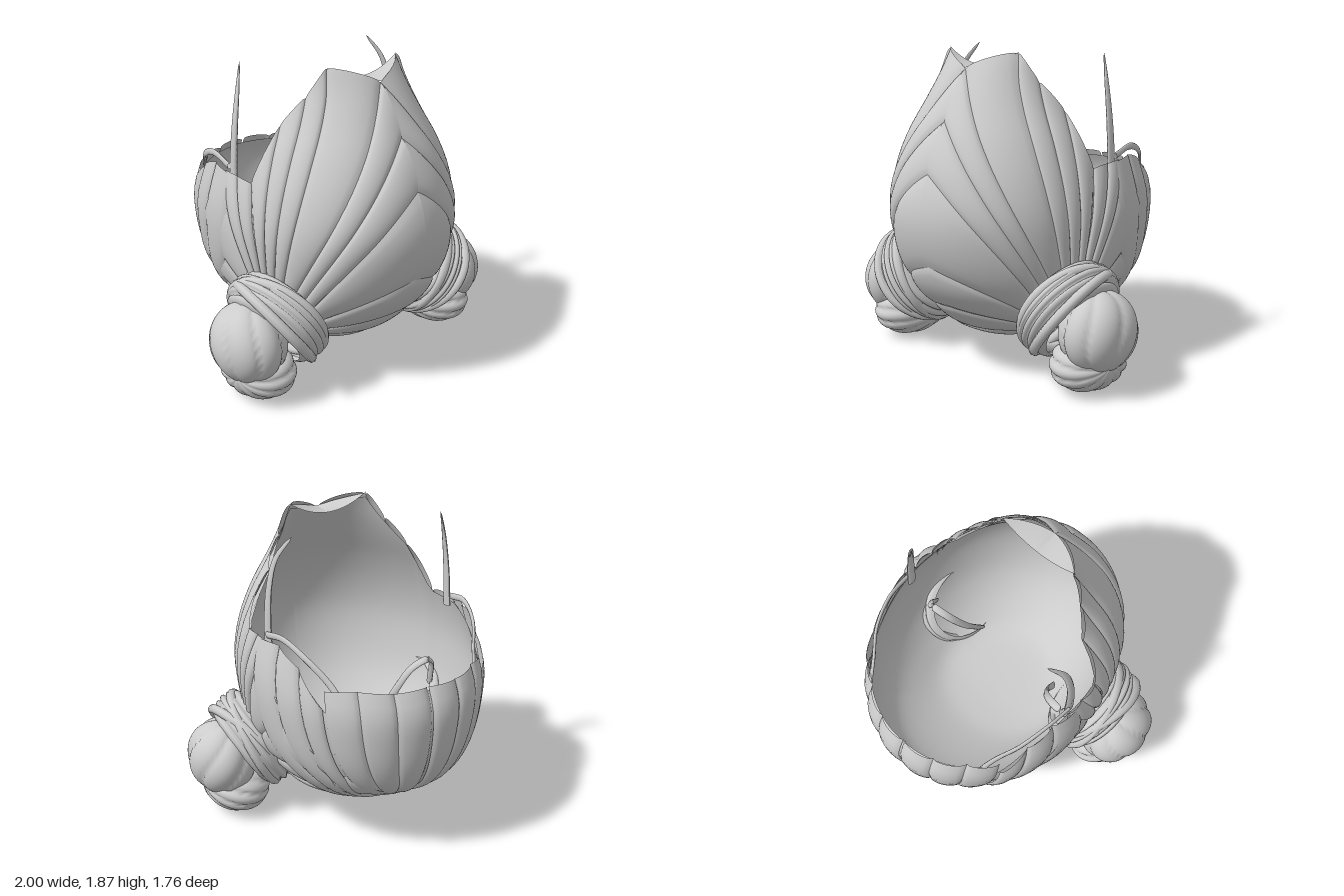
import * as THREE from 'three';

const hair = new THREE.MeshStandardMaterial({ color: 0xcccccc, side: THREE.DoubleSide });
hair.name = 'hair grey';

// Head form: level key, height, half width, front depth, back depth
const LEVELS = [
  [0, 0.2, 0, 0, 0], [0.12, 0.21, 0.24, 0.28, 0.17], [0.22, 0.24, 0.39, 0.45, 0.34],
  [0.34, 0.34, 0.5, 0.58, 0.57], [0.45, 0.45, 0.58, 0.69, 0.73], [0.6, 0.6, 0.65, 0.79, 0.82],
  [0.8, 0.8, 0.69, 0.86, 0.865], [1, 1, 0.7, 0.88, 0.865], [1.2, 1.2, 0.665, 0.84, 0.77],
  [1.4, 1.4, 0.59, 0.755, 0.7], [1.6, 1.6, 0.485, 0.635, 0.6], [1.75, 1.75, 0.425, 0.54, 0.5],
  [1.9, 1.9, 0.41, 0.44, 0.4],
];
const RIM = [[0, 1.79], [39, 1.88], [58, 1.72], [72, 1.58], [79, 1.25], [100, 1.25], [120, 1.15],
  [132, 0.98], [138, 1.08], [180, 1.1]];
const CENTRE = new THREE.Vector3(0, 0.8, 0);

// Smooth lookup for the head form, straight lookup for the rim
function lookup(table, key, column, smooth) {
  let i = 0;
  while (i < table.length - 2 && key > table[i + 1][0]) i++;
  const at = (j) => table[Math.max(0, Math.min(table.length - 1, j))];
  const a = at(i), b = at(i + 1), h = b[0] - a[0];
  const t = Math.max(0, Math.min(1, (key - a[0]) / h));
  if (!smooth) return a[column] + (b[column] - a[column]) * t;
  const slope = (p, q) => (q[column] - p[column]) / Math.max(q[0] - p[0], 1e-6) * h;
  const m0 = slope(at(i - 1), b), m1 = slope(a, at(i + 2)), t2 = t * t, t3 = t2 * t;
  return (2 * t3 - 3 * t2 + 1) * a[column] + (t3 - 2 * t2 + t) * m0
    + (3 * t2 - 2 * t3) * b[column] + (t3 - t2) * m1;
}

// Point on the head: angle 0 is front, 90 the side, 180 the back
function onHead(angle, level, lift = 0) {
  const a = THREE.MathUtils.degToRad(angle), c = Math.cos(a);
  const p = new THREE.Vector3(
    lookup(LEVELS, level, 2, true) * Math.sin(a),
    lookup(LEVELS, level, 1, true),
    lookup(LEVELS, level, c > 0 ? 3 : 4, true) * c);
  return p.sub(CENTRE).multiplyScalar(1 + lift).add(CENTRE);
}

// The same form addressed by flat coordinates, for the underside
const underHead = (x, z, lift) =>
  onHead(THREE.MathUtils.radToDeg(Math.atan2(x, z)), Math.hypot(x, z), lift);

function grid(nu, nv, fn) {
  const pos = [], idx = [];
  for (let i = 0; i <= nu; i++) for (let j = 0; j <= nv; j++) {
    const p = fn(i / nu, j / nv);
    pos.push(p.x, p.y, p.z);
    if (i < nu && j < nv) {
      const a = i * (nv + 1) + j, b = a + nv + 1;
      idx.push(a, b, a + 1, a + 1, b, b + 1);
    }
  }
  const g = new THREE.BufferGeometry();
  g.setAttribute('position', new THREE.Float32BufferAttribute(pos, 3));
  g.setIndex(idx);
  g.computeVertexNormals();
  return g;
}

function add(parent, name, geometry) {
  const m = new THREE.Mesh(geometry, hair);
  m.name = name;
  parent.add(m);
  return m;
}

// Each edge is [start, control, end], all in (angle, level) or flat coordinates
function onEdge(e, t) {
  const w = [(1 - t) * (1 - t), 2 * t * (1 - t), t * t];
  return [0, 1].map((n) => e[0][n] * w[0] + e[1][n] * w[1] + e[2][n] * w[2]);
}

// A lock spans two neighbouring edges and swells between them
function addLocks(parent, name, edges, swell, base, place = onHead) {
  for (let n = 0; n < edges.length - 1; n++) {
    add(parent, name, grid(22, 12, (u, v) => {
      const a = onEdge(edges[n], u), b = onEdge(edges[n + 1], u);
      const lift = base + swell * Math.pow(Math.max(0, Math.sin(Math.PI * v)), 0.5);
      return place(a[0] + (b[0] - a[0]) * v, a[1] + (b[1] - a[1]) * v, lift);
    }));
  }
}

// Thin strand with a flat oval section, tapering if wanted
function addStrand(parent, name, points, width, taper) {
  const curve = new THREE.CatmullRomCurve3(points.map((p) => new THREE.Vector3(...p)));
  add(parent, name, grid(20, 8, (u, v) => {
    const p = curve.getPoint(u), t = curve.getTangent(u);
    const out = new THREE.Vector3(p.x, 0, p.z).normalize();
    const across = new THREE.Vector3().crossVectors(t, out).normalize();
    out.crossVectors(across, t).normalize();
    const r = width * (taper ? Math.pow(1 - u, 0.45) : 1), a = v * Math.PI * 2;
    return p.addScaledVector(across, r * Math.cos(a)).addScaledVector(out, 0.5 * r * Math.sin(a));
  }));
}

// Ball of twisted locks that meet at the poles of its axis
function addBall(parent, name, centre, radii, axis, lobes) {
  const tilt = new THREE.Quaternion().setFromUnitVectors(
    new THREE.Vector3(0, 1, 0), new THREE.Vector3(...axis).normalize());
  add(parent, name, grid(28, 84, (u, v) => {
    const lat = u * Math.PI, lon = v * Math.PI * 2;
    const ridge = Math.pow(Math.abs(Math.sin(lobes / 2 * lon + 1.2 * Math.cos(lat))), 0.5);
    const r = 1 - 0.1 * (1 - ridge) * Math.sin(lat);
    const p = new THREE.Vector3(Math.sin(lat) * Math.cos(lon), Math.cos(lat), Math.sin(lat) * Math.sin(lon));
    p.applyQuaternion(tilt).multiplyScalar(r);
    return p.multiply(new THREE.Vector3(...radii)).add(new THREE.Vector3(...centre));
  }));
}

function createBun() {
  const bun = new THREE.Group();
  bun.name = 'bun';
  addBall(bun, 'bunBall', [0.79, 0.365, 0.285], [0.21, 0.235, 0.255], [0.3, -0.95, 0.1], 7);
  addBall(bun, 'bunUnderside', [0.715, 0.17, 0.275], [0.2, 0.165, 0.26], [0.8, 0.1, 0.2], 12);
  // Ridged wrap round the root of the bun, with two bands crossing it
  const tie = new THREE.Group();
  tie.name = 'bunTie';
  tie.position.set(0.565, 0.45, 0.28);
  tie.quaternion.setFromUnitVectors(new THREE.Vector3(0, 1, 0), new THREE.Vector3(0.84, -0.53, 0.1).normalize());
  const profile = [];
  for (let i = 0; i <= 30; i++) {
    const t = i / 30;
    profile.push(new THREE.Vector2(
      0.23 + 0.075 * Math.sin(Math.PI * (0.12 + 0.82 * t)) + 0.022 * Math.sqrt(Math.abs(Math.sin(5 * Math.PI * t))),
      -0.1 + 0.23 * t));
  }
  add(tie, 'tieWrap', new THREE.LatheGeometry(profile, 48));
  [0.2, -0.24].forEach((slant, i) => {
    const band = add(tie, 'tieBand', new THREE.TorusGeometry(0.3, 0.03, 8, 48));
    band.position.y = 0.01 + 0.03 * i;
    band.rotation.set(Math.PI / 2 + slant, slant * 0.6, 0);
  });
  bun.add(tie);
  return bun;
}

function createHalf() {
  const half = new THREE.Group();
  half.name = 'hairSide';
  // Inner lining
  add(half, 'hairLining', grid(40, 60, (u, v) =>
    onHead(v * 180, u * lookup(RIM, v * 180, 1, false), -0.025)));
  // Front fan, from the tie to the parting and the hood rim
  const sweep = (start, end, rise) =>
    [start, [(start[0] + end[0]) / 2, start[1] + (end[1] - start[1]) * rise], end];
  const frontEnds = [[0, 0.24], [0, 0.42], [0, 0.7], [0, 1.24], [0, 1.52], [0, 1.8],
    [39, 1.89], [58, 1.73], [72, 1.57], [80, 1.25]];
  const last = frontEnds.length - 1;
  addLocks(half, 'frontLock', frontEnds.map((end, i) =>
    sweep([46 + 28 * i / last, 0.26 + 0.46 * i / last], end, 0.78)), 0.024, -0.018);
  // Hood tip folding inward between the rim peaks
  add(half, 'hoodTip', grid(12, 4, (u, v) => {
    const p = onHead(39 * u, 1.8 + 0.085 * u, -0.01);
    return p.lerp(new THREE.Vector3(0.26 * u, 1.79 + 0.09 * u * u, 0.35), v);
  }));
  // Side fan, from the tie to the side rim and the nape
  const sideEnds = [[80, 1.25], [89, 1.26], [98, 1.26], [112, 0.85], [140, 0.55], [180, 0.36]];
  addLocks(half, 'sideLock', sideEnds.map((end, i) =>
    sweep([74 + 2 * i, 0.7 - 0.07 * i], end, 0.55)), 0.03, -0.024);
  // Underside locks, from the tie to the parting below
  const underEnds = [-0.36, -0.2, -0.04, 0.11, 0.24];
  addLocks(half, 'undersideLock', underEnds.map((z, i) =>
    [[0.36 - 0.043 * i, 0.04 + 0.035 * i], [0.19, z * 0.9 + 0.05], [0, z]]), 0.035, -0.022, underHead);
  // Wide locks sweeping from the nape up to the side rim
  addLocks(half, 'backSideLock', [[92, 1.25], [107, 1.27], [120, 1.19], [131, 1.0]].map(([angle, level], i) =>
    [[178, 0.31], [angle - 6 + 3 * i, 0.1 + 0.05 * i], [angle, level]]), 0.03, -0.012);
  // Back fan, from the nape to the back rim
  addLocks(half, 'backLock', [[132, 1.1], [147, 1.12], [163, 1.11], [179.5, 1.12]].map(([angle, level], i) =>
    [[178, 0.36], [angle, 0.27 + 0.02 * i], [angle, level]]), 0.026, -0.018);
  // Upright wisp and the strands along the rim and inside
  addStrand(half, 'uprightWisp', [[0.605, 1.22, -0.06], [0.6, 1.4, -0.055], [0.585, 1.56, -0.055],
    [0.55, 1.72, -0.075], [0.48, 1.855, -0.145]], 0.034, true);
  addStrand(half, 'rimStrand', [[0.62, 1.28, -0.08], [0.6, 1.31, -0.25], [0.55, 1.25, -0.42],
    [0.47, 1.13, -0.55], [0.42, 1.0, -0.65]], 0.02, false);
  addStrand(half, 'innerStrand', [[0.6, 0.62, 0.1], [0.53, 0.84, 0.0], [0.42, 0.8, 0.02],
    [0.34, 0.62, 0.1], [0.31, 0.4, 0.22]], 0.025, false);
  half.add(createBun());
  return half;
}

export function createModel() {
  const model = new THREE.Group();
  model.name = 'hairWithTwoBuns';
  const left = createHalf();
  const right = createHalf();
  left.name = 'leftHair';
  right.name = 'rightHair';
  right.scale.x = -1;
  model.add(left, right);
  return model;
}
